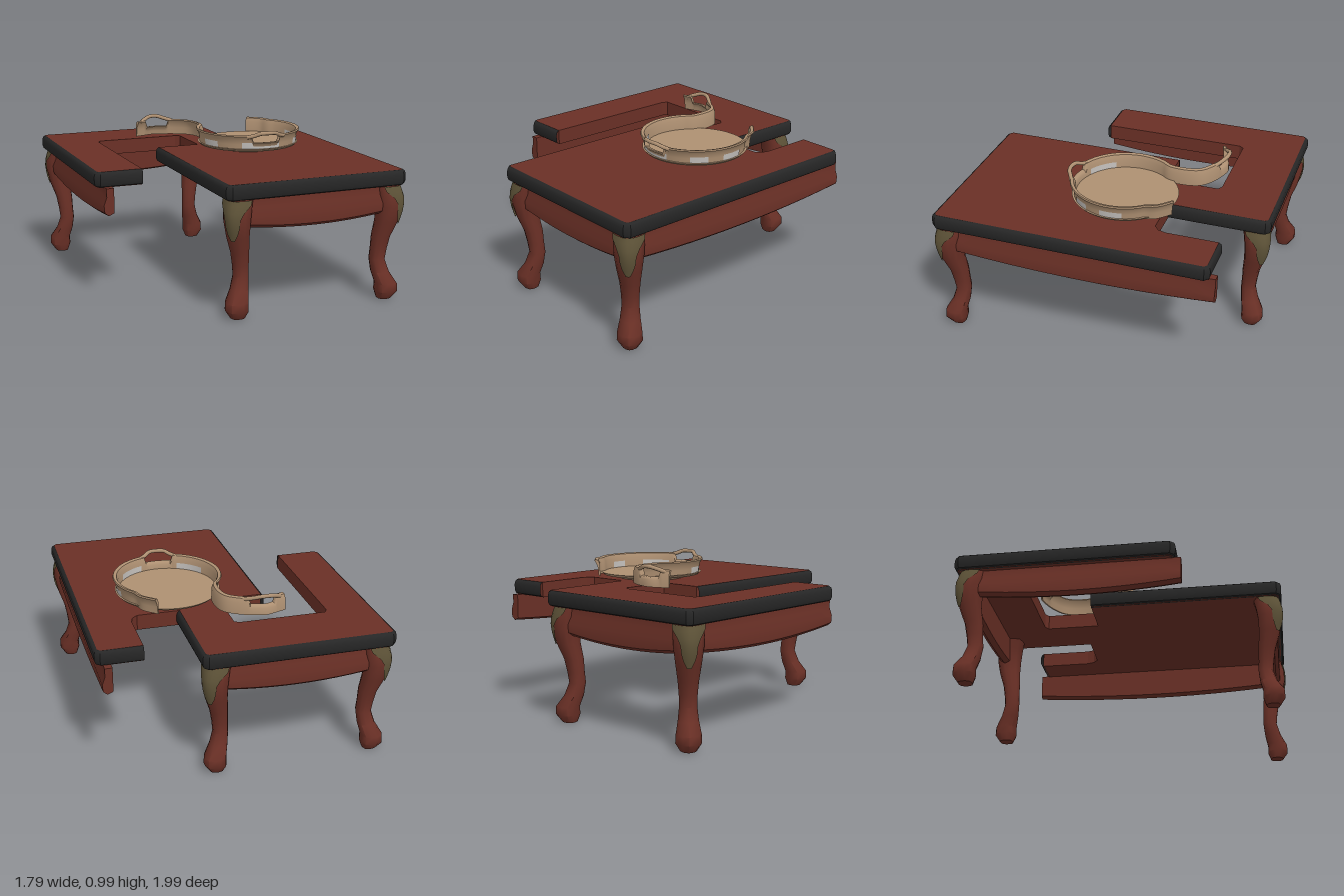
import * as THREE from 'three';
import { toCreasedNormals } from 'three/addons/utils/BufferGeometryUtils.js';

const V = (x, y, z) => new THREE.Vector3(x, y, z);
const mat = (name, color) => new THREE.MeshStandardMaterial({ name, color, side: THREE.DoubleSide });

// Skin a row of equal-length cross-sections; optional caps close the ends
function loft(rings, { closed = true, caps = true, crease = 0.7 } = {}) {
  const all = rings.slice();
  if (caps) {
    const flat = (ring) => {
      const c = V(0, 0, 0);
      ring.forEach((p) => c.add(p));
      c.divideScalar(ring.length);
      return ring.map(() => c);
    };
    all.unshift(flat(rings[0]));
    all.push(flat(rings[rings.length - 1]));
  }
  const n = all[0].length, index = [];
  for (let i = 0; i < all.length - 1; i++) {
    for (let j = 0; j < (closed ? n : n - 1); j++) {
      const k = (j + 1) % n;
      const a = i * n + j, b = i * n + k, d = a + n, c = b + n;
      if (!(caps && i === 0)) index.push(a, d, b);
      if (!(caps && i === all.length - 2)) index.push(b, d, c);
      else if (caps) continue;
      if (caps && i === 0) continue;
    }
  }
  const g = new THREE.BufferGeometry().setFromPoints(all.flat());
  g.setIndex(index);
  return toCreasedNormals(g, crease);
}

// Cut the inner corners of an open path [x, z]
function chamfer(path, d) {
  return path.flatMap((p, i) => {
    if (i === 0 || i === path.length - 1) return [p];
    return [path[i - 1], path[i + 1]].map((q) => {
      const l = Math.hypot(q[0] - p[0], q[1] - p[1]);
      return [p[0] + ((q[0] - p[0]) * d) / l, p[1] + ((q[1] - p[1]) * d) / l];
    });
  });
}

// Mitred inward offset of an open path
function inset(path, d) {
  const normal = (a, b) => new THREE.Vector2(b[1] - a[1], a[0] - b[0]).normalize();
  return path.map((p, i) => {
    const n1 = normal(path[Math.max(i - 1, 0)], path[Math.max(i, 1)]);
    const last = path.length - 1;
    const n2 = normal(path[Math.min(i, last - 1)], path[Math.min(i + 1, last)]);
    const m = n1.clone().add(n2).normalize();
    const k = d / m.dot(n1);
    return [p[0] + m.x * k, p[1] + m.y * k];
  });
}

// Cabriole leg: height, outward shift, half width
const LEG = [
  [0, 0, 0.042], [0.05, 0.008, 0.068], [0.1, 0.008, 0.066], [0.17, -0.02, 0.054], [0.25, -0.036, 0.046],
  [0.32, -0.03, 0.048], [0.4, -0.022, 0.054], [0.5, 0, 0.066], [0.6, 0.01, 0.077], [0.67, 0.004, 0.08], [0.735, -0.012, 0.078],
];
function legAt(y) {
  const i = Math.max(1, LEG.findIndex((r) => r[0] >= y));
  const a = LEG[i - 1], b = LEG[i], t = (y - a[0]) / (b[0] - a[0]);
  return [y, a[1] + (b[1] - a[1]) * t, a[2] + (b[2] - a[2]) * t];
}
function legPoint([y, shift, half], angle, x, z, sx, sz) {
  const c = Math.cos(angle), s = Math.sin(angle);
  const r = half / Math.pow(Math.abs(c) ** 3 + Math.abs(s) ** 3, 1 / 3);
  return V(x + sx * shift + r * c, y, z + sz * shift + r * s);
}

export function createModel() {
  const model = new THREE.Group();
  const wood = mat('redWood', 0x6a3026);
  const black = mat('blackEdge', 0x262626);
  const gilt = mat('oldGilt', 0x5e5338);
  const brass = mat('paleBronze', 0xae9072);
  const silver = mat('wornSilver', 0xc4c0bc);
  const add = (name, geometry, material, parent = model) => {
    const m = new THREE.Mesh(geometry, material);
    m.name = name;
    parent.add(m);
    return m;
  };

  // Table top: outer edges carry black trim, inner cut edges stay red
  const frontEdge = chamfer([[-0.3, -0.25], [-0.3, 0.99], [0.89, 0.99], [0.89, -0.78], [0.6, -0.78]], 0.03);
  const backEdge = chamfer([[0.3, -0.35], [0.3, -1], [-0.9, -1], [-0.9, 0.37], [-0.6, 0.37]], 0.03);
  const outline = [
    ...inset(frontEdge, 0.02), [0.6, -0.43], [0.585, -0.38], [0.55, -0.35],
    ...inset(backEdge, 0.02), [-0.6, -0.58], [-0.58, -0.61], [-0.03, -0.61], [0, -0.59], [0, -0.25],
  ];
  const top = new THREE.ExtrudeGeometry(
    new THREE.Shape(outline.map(([x, z]) => new THREE.Vector2(x, -z))), { depth: 0.098, bevelEnabled: false });
  top.rotateX(-Math.PI / 2).translate(0, 0.732, 0);
  add('tableTop', top, wood);

  const trim = [[0.03, 0.73], [0.008, 0.74], [0, 0.76], [0, 0.8], [0.006, 0.82], [0.02, 0.83]];
  for (const [name, path] of [['frontTrim', frontEdge], ['backTrim', backEdge]]) {
    const lines = trim.map(([d, y]) => inset(path, d).map(([x, z]) => V(x, y, z)));
    add(name, loft(path.map((_, i) => lines.map((l) => l[i])), { closed: false, caps: false }), black);
  }

  // Legs with gilt knee mounts
  const corners = [['frontRight', -0.2, 0.9, -1, 1], ['frontLeft', 0.8, 0.9, 1, 1],
    ['backRight', -0.8, -0.9, -1, -1], ['backLeft', 0.2, -0.9, 1, -1]];
  for (const [name, x, z, sx, sz] of corners) {
    const rings = LEG.map((row) => Array.from({ length: 12 }, (_, j) =>
      legPoint(row, ((j + 0.5) / 12) * Math.PI * 2, x, z, sx, sz)));
    add(name + 'Leg', loft(rings, { crease: 0.9 }), wood);

    const facing = Math.atan2(sz, sx);
    const mount = [[0.49, 0.15], [0.53, 0.4], [0.57, 0.55], [0.62, 0.6], [0.66, 0.85], [0.7, 1.3], [0.73, 1.35]];
    const rows = mount.map(([y, span]) => {
      const [, shift, half] = legAt(y);
      return Array.from({ length: 9 }, (_, j) =>
        legPoint([y, shift, half + 0.008], facing + span * (j / 4 - 1), x, z, sx, sz));
    });
    add(name + 'KneeMount', loft(rows, { closed: false, caps: false }), gilt);
  }

  // Aprons with a swelling section and a bowed lower edge
  function apron(name, x0, z0, x1, z1) {
    const len = Math.hypot(x1 - x0, z1 - z0), dx = (x1 - x0) / len, dz = (z1 - z0) / len;
    const rings = [];
    for (let i = 0; i <= 12; i++) {
      const t = i / 12, low = 0.53 + 0.035 * (2 * t - 1) ** 2;
      const section = [[-0.035, low + 0.015], [0, low], [0.026, low + 0.02], [0.03, 0.63], [0.012, 0.68], [0.012, 0.735], [-0.035, 0.735]];
      rings.push(section.map(([o, y]) => V(x0 + dx * len * t - dz * o, y, z0 + dz * len * t + dx * o)));
    }
    add(name, loft(rings), wood);
  }
  apron('frontApron', -0.2, 0.925, 0.8, 0.925);
  apron('leftApron', 0.83, 0.88, 0.83, -0.81);
  apron('backApron', 0.2, -0.925, -0.8, -0.925);
  apron('rightApron', -0.83, -0.88, -0.83, 0.4);

  // Tray: floor, foot, and a rim wall that peels away at the back
  const tray = new THREE.Group();
  tray.name = 'tray';
  model.add(tray);
  const cx = 0.29, cz = -0.07;
  const polar = (deg, r, y) => V(cx + r * Math.cos((deg * Math.PI) / 180), y, cz + r * Math.sin((deg * Math.PI) / 180));
  add('trayFloor', new THREE.CylinderGeometry(0.335, 0.315, 0.018, 48).translate(cx, 0.862, cz), brass, tray);
  add('trayFoot', new THREE.CylinderGeometry(0.24, 0.21, 0.03, 32).translate(cx, 0.843, cz), brass, tray);

  const path = [[-0.33, -0.545], [-0.27, -0.565], [-0.2, -0.585], [-0.12, -0.565], [-0.05, -0.535], [0.02, -0.48], [0.045, -0.4]]
    .map(([x, z]) => V(x, 0, z));
  for (let a = 220; a >= -40; a -= 10) path.push(polar(a, 0.33, 0));
  path.push(V(0.52, 0, -0.345), V(0.44, 0, -0.425));
  const curve = new THREE.CatmullRomCurve3(path);
  const wall = [[-0.01, 0], [-0.006, 0.42], [0, 0.7], [0.016, 0.92], [0.012, 1], [-0.008, 0.95], [-0.018, 0.7], [-0.02, 0]];
  const handles = [[-0.19, -0.58, 0.08], [0.27, 0.26, 0.09]];
  const rings = [];
  for (let i = 0; i <= 150; i++) {
    const p = curve.getPointAt(i / 150), d = curve.getTangentAt(i / 150);
    const open = handles.some(([x, z, w]) => Math.hypot(p.x - x, p.z - z) < w);
    const height = open ? 0.062 : 0.108;
    rings.push(wall.map(([o, k]) => V(p.x - d.z * o, 0.855 + k * height, p.z + d.x * o)));
  }
  add('trayWall', loft(rings, { crease: 0.9 }), brass, tray);

  // Handle bows over the gaps in the wall
  const bow = (name, pts) => add(name, new THREE.TubeGeometry(
    new THREE.CatmullRomCurve3(pts), 24, 0.013, 8), brass, tray);
  bow('frontHandle', [polar(114, 0.335, 0.95), polar(106, 0.345, 0.962), polar(100, 0.36, 0.977),
    polar(92, 0.365, 0.979), polar(84, 0.36, 0.977), polar(78, 0.345, 0.962), polar(70, 0.335, 0.95)]);
  bow('looseHandle', [V(-0.31, 0.945, -0.55), V(-0.26, 0.968, -0.585), V(-0.22, 0.98, -0.605),
    V(-0.17, 0.98, -0.605), V(-0.12, 0.965, -0.58), V(-0.07, 0.95, -0.545)]);

  // Worn silver patches on both faces of the wall
  function patch(from, to, rLow, rHigh) {
    const strip = [];
    for (let i = 0; i <= 10; i++) {
      const a = from + ((to - from) * i) / 10;
      strip.push([polar(a, rLow, 0.873), polar(a, rHigh, 0.912)]);
    }
    add('silverPatch', loft(strip, { closed: false, caps: false }), silver, tray);
  }
  for (const [a, b] of [[120, 75], [172, 150], [48, 28], [10, -15]]) patch(a, b, 0.325, 0.329);
  for (const [a, b] of [[150, 115], [70, 35], [10, -10]]) patch(a, b, 0.307, 0.308);

  return model;
}
